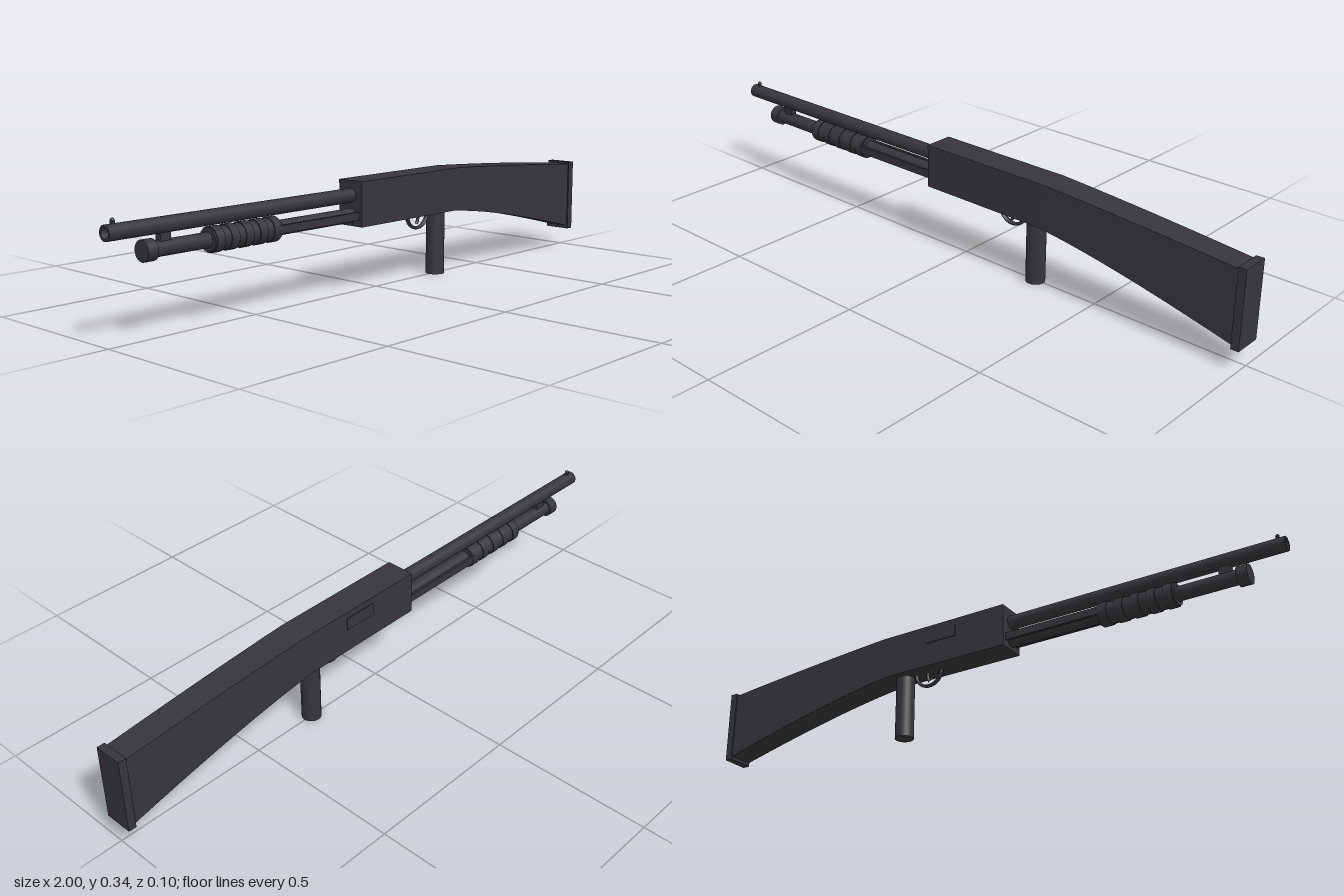
import * as THREE from 'three';

const dark = new THREE.MeshStandardMaterial({ color: 0x37353b });
dark.name = 'charcoal';
const ZC = 0.002;

export function createModel() {
  const model = new THREE.Group();
  const add = (name, geo, x, y, z = ZC) => {
    const m = new THREE.Mesh(geo, dark);
    m.name = name;
    m.position.set(x, y, z);
    model.add(m);
    return m;
  };
  const box = (name, x0, x1, y0, y1, z0, z1) =>
    add(name, new THREE.BoxGeometry(x1 - x0, y1 - y0, z1 - z0), (x0 + x1) / 2, (y0 + y1) / 2, (z0 + z1) / 2);
  // cylinder lying along x
  const rod = (name, x0, x1, y, r, open = false) => {
    const g = new THREE.CylinderGeometry(r, r, x1 - x0, 24, 1, open).rotateZ(Math.PI / 2);
    return add(name, g, (x0 + x1) / 2, y);
  };

  // barrel as a hollow tube with a shallow bore, and front bead
  const bore = [[0.001, -0.93], [0.015, -0.93], [0.015, -1], [0.022, -1], [0.022, -0.1]];
  const profile = [];
  bore.forEach(([r, x], i) => {
    profile.push(new THREE.Vector2(r, x));
    if (i > 0 && i < 4) profile.push(new THREE.Vector2(r, x)); // crisp rims
  });
  const barrel = new THREE.LatheGeometry(profile, 24).rotateZ(-Math.PI / 2);
  add('barrel', barrel.toNonIndexed(), 0, 0.298);
  add('barrelBore', new THREE.CircleGeometry(0.015, 24).rotateY(-Math.PI / 2), -0.931, 0.298);
  box('sightPost', -0.98, -0.97, 0.315, 0.328, ZC - 0.004, ZC + 0.004);
  add('sightBead', new THREE.SphereGeometry(0.006, 10, 8), -0.975, 0.329);

  // lower tube, end cap and the bracket joining it to the barrel
  rod('lowerTube', -0.88, -0.1, 0.237, 0.022);
  rod('endCap', -0.888, -0.855, 0.237, 0.03);
  box('barrelBracket', -0.835, -0.8, 0.24, 0.285, ZC - 0.01, ZC + 0.01);

  // ribbed sliding handle
  rod('slideHandle', -0.67, -0.425, 0.237, 0.034);
  for (let i = 0; i < 5; i++) {
    const x = -0.665 + i * 0.052;
    rod('handleRib', x, x + 0.028, 0.237, 0.037);
  }
  for (const s of [-1, 1]) {
    const z = ZC + s * 0.031;
    box('slideBar', -0.44, -0.1, 0.226, 0.25, z - 0.004, z + 0.004);
  }

  // body and stock as one curved outline
  const side = new THREE.Shape();
  side.moveTo(-0.115, 0.205);
  side.lineTo(0.32, 0.205);
  side.quadraticCurveTo(0.56, 0.18, 0.985, 0.07);
  side.lineTo(0.985, 0.296);
  side.quadraticCurveTo(0.63, 0.328, 0.34, 0.343);
  side.lineTo(-0.115, 0.343);
  side.closePath();
  const body = new THREE.ExtrudeGeometry(side, { depth: 0.094, bevelEnabled: false, curveSegments: 10 });
  body.translate(0, 0, -0.047);
  // narrow the stock towards the butt
  const p = body.attributes.position;
  for (let i = 0; i < p.count; i++) {
    const t = THREE.MathUtils.clamp((p.getX(i) - 0.34) / 0.64, 0, 1);
    p.setZ(i, p.getZ(i) * (1 - 0.14 * t));
  }
  body.computeVertexNormals();
  add('bodyAndStock', body, 0, 0);
  box('buttPlate', 0.975, 1, 0.062, 0.304, ZC - 0.0445, ZC + 0.0445);

  // raised cover on the far side
  box('sideCover', 0.06, 0.17, 0.283, 0.323, -0.048, -0.04);

  // trigger guard, trigger and round grip
  const guard = new THREE.TorusGeometry(0.048, 0.005, 8, 28, Math.PI).rotateZ(Math.PI);
  guard.scale(1, 1, 1.6);
  add('triggerGuard', guard, 0.19, 0.208);
  const trigger = new THREE.TubeGeometry(new THREE.QuadraticBezierCurve3(
    new THREE.Vector3(0.192, 0.212, 0), new THREE.Vector3(0.2, 0.19, 0), new THREE.Vector3(0.186, 0.172, 0)),
    8, 0.005, 8);
  add('trigger', trigger, 0, 0);
  add('grip', new THREE.CylinderGeometry(0.03, 0.03, 0.21, 24), 0.281, 0.105);

  return model;
}
